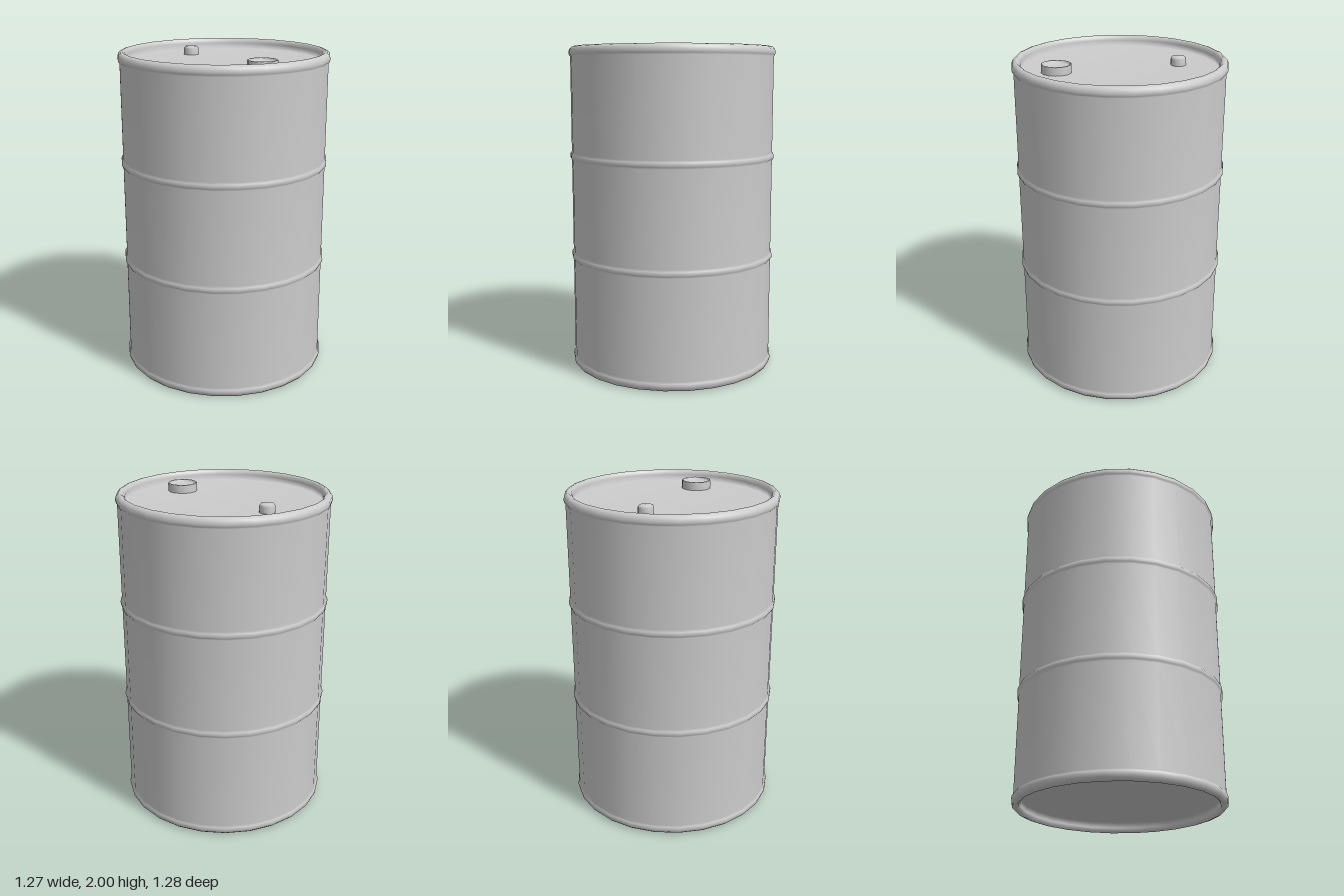
import * as THREE from 'three';

const material = new THREE.MeshStandardMaterial({ color: 0xcccccc });

// Turned part from [radius, height] pairs, listed from the bottom centre outward and up to the top centre
function turned(name, points, sides) {
  const profile = points.map(([r, y]) => new THREE.Vector2(r, y));
  const mesh = new THREE.Mesh(new THREE.LatheGeometry(profile, sides), material);
  mesh.name = name;
  return mesh;
}

export function createModel() {
  const group = new THREE.Group();
  group.name = 'barrel';

  // Recessed end and rolled rim, from the end's centre out to the wall
  const end = [
    [0, 0.065], [0.59, 0.065], [0.588, 0.03], [0.594, 0.01], [0.608, 0],
    [0.624, 0.005], [0.636, 0.018], [0.64, 0.037], [0.637, 0.052], [0.63, 0.062],
  ];
  // Raised hoop around the wall
  const hoop = (y) => [[0.63, y - 0.025], [0.638, y - 0.014], [0.64, y], [0.638, y + 0.014], [0.63, y + 0.025]];
  const topEnd = end.map(([r, y]) => [r, 2 - y]).reverse();
  group.add(turned('drumBody', [...end, ...hoop(0.705), ...hoop(1.33), ...topEnd], 26));

  // Large filler bung with a dished top
  const filler = turned('fillerBung', [
    [0.09, 0], [0.09, 0.05], [0.086, 0.054], [0.08, 0.05], [0.078, 0.035], [0, 0.035],
  ], 14);
  filler.position.set(0, 1.932, 0.38);

  // Small vent plug with a rounded top
  const vent = turned('ventPlug', [
    [0.046, 0], [0.046, 0.042], [0.038, 0.053], [0, 0.056],
  ], 16);
  vent.position.set(0, 1.932, -0.36);

  group.add(filler, vent);
  return group;
}
